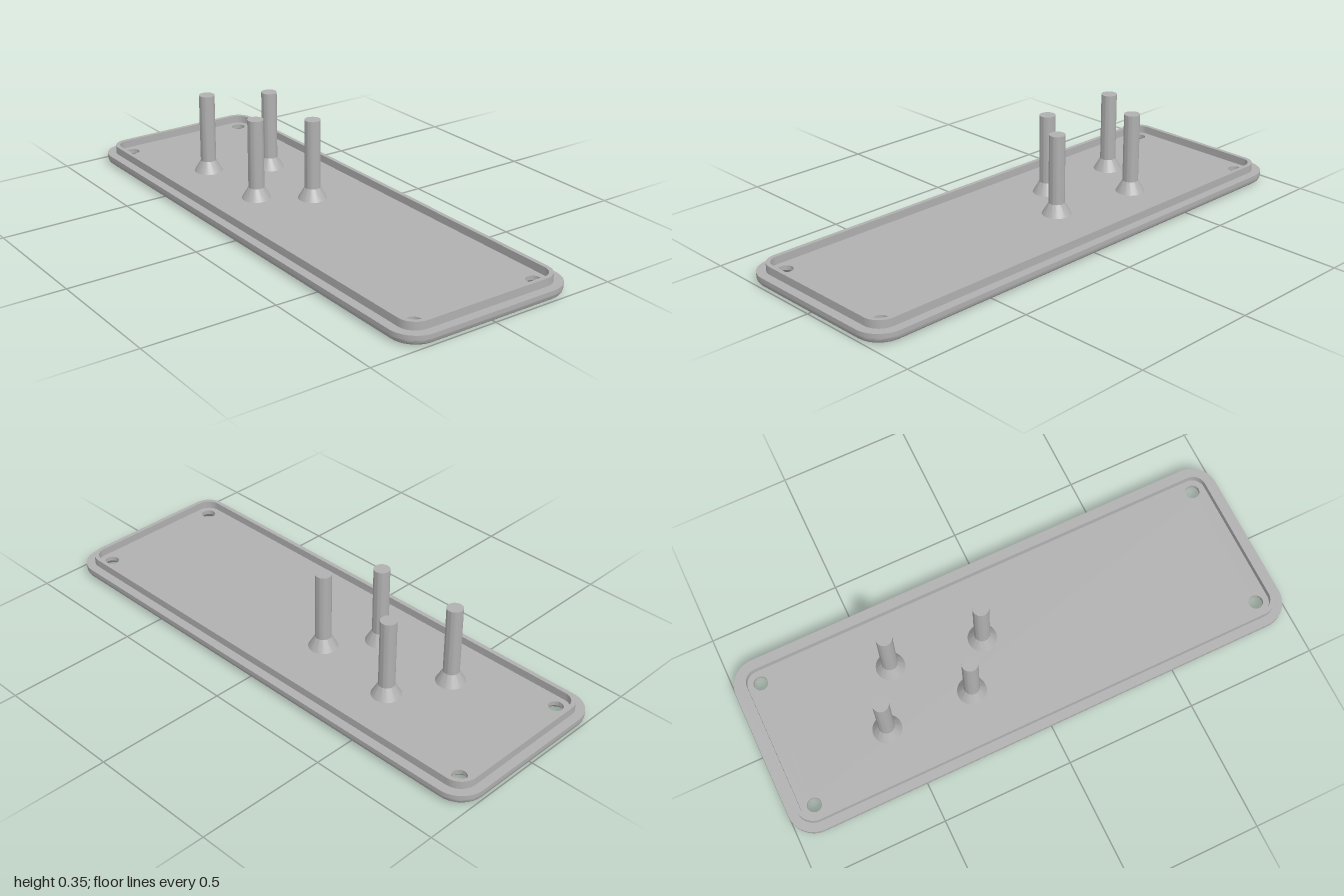
import * as THREE from 'three';
import { toCreasedNormals } from 'three/addons/utils/BufferGeometryUtils.js';

const HALF_X = 1, HALF_Z = 0.352, CORNER = 0.1;
const PLATE_TOP = 0.04, RIM_TOP = 0.07, FILLET = 0.024;
const HOLE_R = 0.027, SINK_R = 0.05, SINK_H = 0.023;
const HOLES = [[-0.9, -0.253], [0.9, -0.253], [0.9, 0.253], [-0.9, 0.253]];

// Rounded rectangle, counter-clockwise, shrunk evenly by inset
function outline(inset, steps = 12) {
  const r = CORNER - inset, cx = HALF_X - CORNER, cy = HALF_Z - CORNER;
  const centres = [[cx, cy], [-cx, cy], [-cx, -cy], [cx, -cy]];
  const points = [];
  centres.forEach(([x, y], k) => {
    for (let i = 0; i <= steps; i++) {
      const a = (k + i / steps) * Math.PI / 2;
      points.push(new THREE.Vector2(x + r * Math.cos(a), y + r * Math.sin(a)));
    }
  });
  return points;
}

// Flat sheet with four round holes
function sheet(inset, holeRadius) {
  const shape = new THREE.Shape(outline(inset));
  for (const [x, y] of HOLES) {
    shape.holes.push(new THREE.Path().absarc(x, y, holeRadius, 0, Math.PI * 2, true));
  }
  return new THREE.ShapeGeometry(shape, 16);
}

// Wall through stacked outlines: a quarter-round bottom edge, then straight up
function edgeSkin() {
  const levels = [];
  for (let i = 0; i <= 8; i++) {
    const a = i / 8 * Math.PI / 2;
    levels.push([FILLET * (1 - Math.sin(a)), FILLET * (1 - Math.cos(a))]);
  }
  levels.push([0, PLATE_TOP]);
  const positions = [], index = [];
  let n = 0;
  for (const [inset, h] of levels) {
    const ring = outline(inset);
    n = ring.length;
    for (const p of ring) positions.push(p.x, p.y, h);
  }
  for (let i = 0; i < levels.length - 1; i++) {
    for (let j = 0; j < n; j++) {
      const k = (j + 1) % n;
      const a = i * n + j, b = i * n + k, c = b + n, d = a + n;
      index.push(a, b, c, a, c, d);
    }
  }
  const g = new THREE.BufferGeometry();
  g.setAttribute('position', new THREE.Float32BufferAttribute(positions, 3));
  g.setIndex(index);
  return toCreasedNormals(g, 0.6);
}

function lathe(profile) {
  const points = profile.map(([r, y]) => new THREE.Vector2(r, y));
  return toCreasedNormals(new THREE.LatheGeometry(points, 32), 0.4);
}

export function createModel() {
  const model = new THREE.Group();
  model.name = 'coverPlate';
  const grey = new THREE.MeshStandardMaterial({ color: 0xb0b0b0 });
  grey.name = 'grey';

  const add = (name, geometry, x = 0, y = 0, z = 0) => {
    const mesh = new THREE.Mesh(geometry, grey);
    mesh.name = name;
    mesh.position.set(x, y, z);
    model.add(mesh);
  };

  // Base plate
  add('plateTop', sheet(0, HOLE_R).rotateX(-Math.PI / 2), 0, PLATE_TOP, 0);
  add('plateBottom', sheet(FILLET, SINK_R).rotateX(Math.PI / 2));
  add('plateEdge', edgeSkin().rotateX(-Math.PI / 2));

  // Countersunk screw holes, profile runs downward so the faces look inward
  const hole = lathe([[HOLE_R, PLATE_TOP], [HOLE_R, SINK_H], [SINK_R, 0]]);
  for (const [x, z] of HOLES) add('screwHole', hole, x, 0, z);

  // Raised locating rim
  const rim = new THREE.Shape(outline(0.034));
  rim.holes.push(new THREE.Path(outline(0.05)));
  const rimGeometry = new THREE.ExtrudeGeometry(rim, {
    depth: RIM_TOP - PLATE_TOP, bevelEnabled: false,
  });
  add('rim', toCreasedNormals(rimGeometry, 0.6).rotateX(-Math.PI / 2), 0, PLATE_TOP, 0);

  // Posts with flared feet
  const post = lathe([[0.055, PLATE_TOP], [0.03, 0.084], [0.03, 0.349], [0, 0.349]]);
  for (const [x, z] of [[-0.442, -0.107], [-0.088, -0.062], [-0.55, 0.108], [-0.21, 0.108]]) {
    add('post', post, x, 0, z);
  }
  return model;
}
